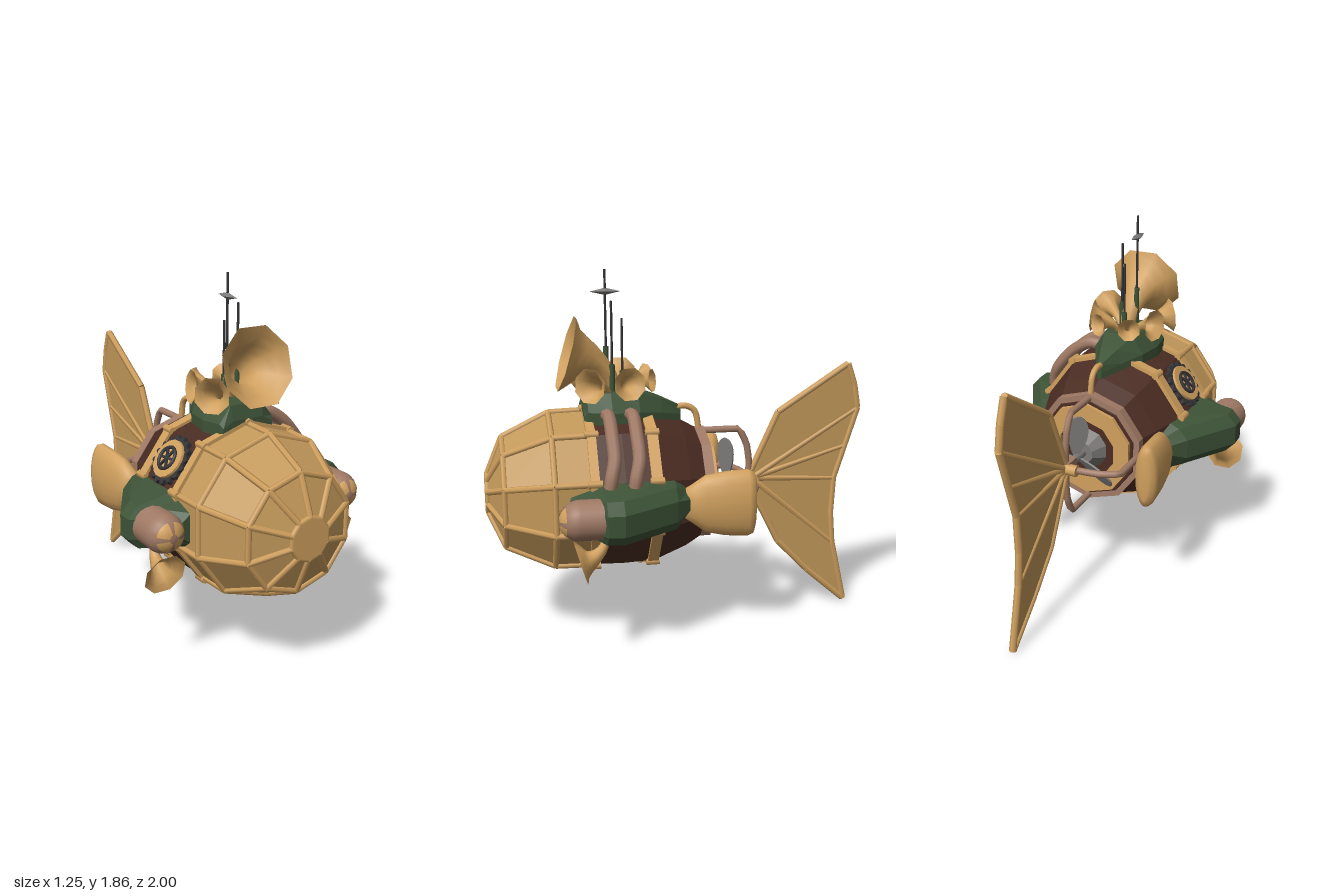
import * as THREE from 'three';

const V = (x, y, z) => new THREE.Vector3(x, y, z);
const CY = 0.755; // height of the hull axis

export function createModel() {
  const root = new THREE.Group();
  root.name = 'fishSubmarine';
  const mat = (name, color) => {
    const m = new THREE.MeshStandardMaterial({ color, side: THREE.DoubleSide });
    m.name = name;
    return m;
  };
  const gold = mat('brass', 0xd0a05e), panel = mat('brassPanel', 0xc2985a);
  const brown = mat('darkWood', 0x4a2c22), green = mat('greenPaint', 0x3e5438);
  const copper = mat('copper', 0xa07a65), grey = mat('steel', 0x7c7a78), dark = mat('blackIron', 0x353538);

  const add = (name, geo, material, parent = root) => {
    const m = new THREE.Mesh(geo, material);
    m.name = name;
    parent.add(m);
    return m;
  };
  const group = (name) => {
    const g = new THREE.Group();
    g.name = name;
    root.add(g);
    return g;
  };
  const flat = (geo) => {
    const g = geo.index ? geo.toNonIndexed() : geo;
    g.computeVertexNormals();
    return g;
  };

  // Skin over a row of equal-length rings, with optional end caps
  const loft = (rings, caps = true) => {
    const n = rings[0].length, pts = rings.flat(), idx = [];
    for (let i = 0; i + 1 < rings.length; i++) {
      for (let j = 0; j < n; j++) {
        const a = i * n + j, b = i * n + (j + 1) % n;
        idx.push(a, b, a + n, b, b + n, a + n);
      }
    }
    if (caps) [0, rings.length - 1].forEach((r, k) => {
      const c = pts.length;
      pts.push(rings[r].reduce((s, p) => s.add(p), V(0, 0, 0)).divideScalar(n));
      for (let j = 0; j < n; j++) {
        const a = r * n + j, b = r * n + (j + 1) % n;
        idx.push(...(k ? [a, b, c] : [b, a, c]));
      }
    });
    const g = new THREE.BufferGeometry().setFromPoints(pts);
    g.setIndex(idx);
    g.computeVertexNormals();
    return g;
  };

  // Ten-sided turned part along the hull axis, profile as [radius, z]
  const hull = (profile) => flat(new THREE.LatheGeometry(profile.map(([r, z]) => new THREE.Vector2(r, z)), 10)
    .rotateX(Math.PI / 2).translate(0, CY, 0));
  const band = (z, w, r0, r1) => hull([[r0, z - w], [r1, z - w], [r1, z + w], [r0, z + w], [r0, z - w]]);
  const rod = (a, b, r, sides = 6, r2 = r) => {
    const d = b.clone().sub(a);
    const g = new THREE.CylinderGeometry(r2, r, d.length(), sides);
    g.applyQuaternion(new THREE.Quaternion().setFromUnitVectors(V(0, 1, 0), d.normalize()));
    return g.translate((a.x + b.x) / 2, (a.y + b.y) / 2, (a.z + b.z) / 2);
  };
  const pipe = (pts, r, tension = 0.5) =>
    new THREE.TubeGeometry(new THREE.CatmullRomCurve3(pts, false, 'catmullrom', tension), 28, r, 8);

  // Flared eight-sided horn that follows a short bent path
  const horn = (pts, r) => {
    const curve = new THREE.CatmullRomCurve3(pts), N = 9, rings = [];
    for (let i = 0; i <= N; i++) {
      const t = i / N, c = curve.getPoint(t), d = curve.getTangent(t);
      const side = V(0, 1, 0).cross(d).normalize(), up = d.clone().cross(side);
      const rad = r * (0.16 + 0.2 * t + 0.64 * t ** 4);
      rings.push(Array.from({ length: 8 }, (_, j) => {
        const a = (j + 0.5) * Math.PI / 4;
        return c.clone().addScaledVector(side, rad * Math.cos(a)).addScaledVector(up, rad * Math.sin(a));
      }));
    }
    return loft(rings, false);
  };

  // Hull: panelled nose, wooden barrel and metal bands
  const nose = [[0.1, 0.985], [0.29, 0.905], [0.405, 0.67], [0.41, 0.48]];
  add('nosePanels', hull([...nose].reverse()), panel);
  add('noseHub', hull([[0.1, 0.97], [0.1, 1], [0, 1]]), gold);
  add('barrel', hull([[0, -0.14], [0.265, -0.14], [0.345, 0], [0.41, 0.17], [0.415, 0.33], [0.41, 0.48]]), brown);
  add('frontBand', band(0.48, 0.022, 0.39, 0.428), gold);
  add('middleBand', band(0.18, 0.027, 0.39, 0.426), gold);
  add('rearBand', band(-0.11, 0.025, 0.22, 0.3), copper);
  const ribs = group('noseRibs');
  for (let k = 0; k < 10; k++) {
    const at = ([r, z], q) => V(r * Math.sin(q * Math.PI / 5), CY + r * Math.cos(q * Math.PI / 5), z);
    for (let i = 0; i < 3; i++) {
      add('meridianRib', rod(at(nose[i], k), at(nose[i + 1], k), 0.016), gold, ribs);
      add('ringRib', rod(at(nose[i], k), at(nose[i], k + 1), 0.015), gold, ribs);
    }
    for (const [r, z] of [[0.418, 0.48], [0.416, 0.18]]) {
      add('bandJoint', rod(at([r, z - 0.034], k), at([r, z + 0.034], k), 0.02), gold, ribs);
    }
  }

  // Stern: stepped cap, shaft and three-bladed propeller
  add('sternRing', band(-0.145, 0.015, 0.16, 0.25), gold);
  add('sternCap', hull([[0, -0.205], [0.06, -0.205], [0.11, -0.14]]), grey);
  add('propellerShaft', rod(V(0, CY, -0.2), V(0, CY, -0.36), 0.022, 10), grey);
  const blade = new THREE.Shape();
  blade.moveTo(-0.015, 0.02);
  blade.bezierCurveTo(-0.07, 0.1, -0.08, 0.2, -0.02, 0.225);
  blade.bezierCurveTo(0.05, 0.23, 0.07, 0.13, 0.015, 0.02);
  for (let k = 0; k < 3; k++) {
    add('propellerBlade', new THREE.ExtrudeGeometry(blade, { depth: 0.01, bevelEnabled: false })
      .rotateY(0.6).rotateZ(k * Math.PI * 2 / 3).translate(0, CY, -0.265), grey);
  }

  // Crossed pipe cage around the propeller
  const cage = [[0.275, -0.1], [0.275, -0.3], [0.27, -0.33], [0.19, -0.37], [0.09, -0.385], [0, -0.38],
    [-0.09, -0.385], [-0.19, -0.37], [-0.27, -0.33], [-0.275, -0.3], [-0.275, -0.1]];
  add('cageAcross', pipe(cage.map(([a, z]) => V(a, CY, z)), 0.018, 0.2), copper);
  add('cageUpright', pipe(cage.map(([a, z]) => V(0, CY + a, z)), 0.018, 0.2), copper);
  add('tailBracket', new THREE.BoxGeometry(0.06, 0.07, 0.08).translate(0, CY, -0.36), copper);
  add('tailHinge', rod(V(-0.07, CY, -0.395), V(0.07, CY, -0.395), 0.03, 8), gold);

  // Tail fin: thin web with rim and ribs, points as [-z, y]
  const fin = [[0.39, 0.78], [0.54, 1.11], [0.92, 1.355], [0.96, 1.24], [0.982, 1.115], [0.862, 0.73],
    [0.853, 0.53], [0.868, 0.36], [0.945, 0.022], [0.73, 0.21], [0.556, 0.39], [0.39, 0.72]];
  const tail = group('tailFin');
  add('finWeb', new THREE.ExtrudeGeometry(new THREE.Shape(fin.map(([u, y]) => new THREE.Vector2(u, y))),
    { depth: 0.014, bevelEnabled: false }).rotateY(Math.PI / 2).translate(-0.007, 0, 0), panel, tail);
  fin.forEach(([u, y], i) => {
    const [u2, y2] = fin[(i + 1) % fin.length];
    add('finRim', rod(V(0, y, -u), V(0, y2, -u2), 0.018), gold, tail);
  });
  for (const [u, y] of [fin[4], [0.92, 0.91], fin[5], fin[7]]) {
    add('finRib', rod(V(0, 0.755, -0.4), V(0, y, -u), 0.02, 6, 0.014), gold, tail);
  }

  // Pods, rear flaps and lower horns on both sides
  for (const s of [1, -1]) {
    const g = group(s > 0 ? 'leftPod' : 'rightPod');
    // Section from the hull out to x = w, as [z, w, bottom, top]
    const section = ([z, w, b, t]) => [[0.3, b], [w - 0.05, b + (t - b) * 0.16], [w, b + (t - b) * 0.33],
      [w, b + (t - b) * 0.66], [w - 0.05, b + (t - b) * 0.84], [0.3, t]].map(([x, y]) => V(s * x, y, z));
    add('podShoulder', flat(loft([[0.02, 0.4, 0.67, 0.84], [0.09, 0.46, 0.59, 0.9], [0.37, 0.625, 0.585, 0.9],
      [0.45, 0.625, 0.59, 0.9], [0.49, 0.55, 0.6, 0.88], [0.6, 0.43, 0.64, 0.86]].map(section))), green, g);
    const cx = s * 0.512, cy = 0.75;
    add('podBarrel', new THREE.CylinderGeometry(0.097, 0.097, 0.2, 20, 1, true)
      .rotateX(Math.PI / 2).translate(cx, cy, 0.47), copper, g);
    const dome = (...part) => new THREE.SphereGeometry(0.097, 20, 10, ...part).rotateX(Math.PI / 2);
    add('podDome', dome(0, Math.PI * 2, 0, Math.PI / 2).translate(cx, cy, 0.57), copper, g);
    for (let k = 0; k < 4; k++) {
      add('podWindow', dome(k * Math.PI / 2 + 0.2, Math.PI / 2 - 0.4, 0.22, 0.62)
        .scale(1.02, 1.02, 1.02).translate(cx, cy, 0.57), gold, g);
    }
    const flap = [[0.045, 0.345, 0.035, 0.07], [0, 0.36, 0.055, 0.1], [-0.06, 0.372, 0.062, 0.145],
      [-0.16, 0.385, 0.064, 0.165], [-0.27, 0.392, 0.064, 0.172], [-0.3, 0.394, 0.052, 0.16], [-0.312, 0.395, 0.025, 0.12]];
    add('rearFlap', loft(flap.map(([z, x, rx, ry]) => Array.from({ length: 18 }, (_, j) => {
      const a = j * Math.PI / 9;
      return V(s * x + rx * Math.cos(a), 0.748 + ry * Math.sin(a), z);
    }))), gold, g);
    add('lowerHorn', horn([V(s * 0.49, 0.65, 0.44), V(s * 0.5, 0.59, 0.47), V(s * 0.503, 0.55, 0.52),
      V(s * 0.503, 0.535, 0.57)], 0.11), gold, g);
  }

  // Green turret base on the back, rows as [z, half width, bottom, top]
  add('turretBase', flat(loft([[0.5, 0.14, 1.13, 1.19], [0.48, 0.15, 1.1, 1.26], [0.36, 0.165, 1.08, 1.265],
    [0.22, 0.14, 1.08, 1.26], [0.1, 0.075, 1.08, 1.22], [-0.01, 0.012, 1.08, 1.17]].map(([z, w, b, t]) =>
    [[-w, b], [w, b], [w, b + (t - b) * 0.5], [w * 0.6, t], [-w * 0.6, t], [-w, b + (t - b) * 0.5]]
      .map(([x, y]) => V(x, y, z))))), green);
  add('turretPipe', pipe([V(0, 1.16, 0.02), V(0, 1.165, -0.04), V(0, 1.13, -0.09), V(0, 1.03, -0.11)], 0.016), gold);

  // Horn cluster
  add('mainHorn', horn([V(0, 1.24, 0.32), V(0, 1.34, 0.36), V(0, 1.42, 0.45), V(0, 1.455, 0.57)], 0.2), gold);
  for (const s of [1, -1]) {
    for (const [x, z, r] of [[0.19, 0.475, 0.09], [0.18, 0.275, 0.085], [0.09, 0.15, 0.06]]) {
      const dx = x * s, dz = z - 0.32;
      add('sideHorn', horn([V(dx * 0.2, 1.23, 0.32 + dz * 0.2), V(dx * 0.45, 1.29, 0.32 + dz * 0.45),
        V(dx * 0.75, 1.315, 0.32 + dz * 0.75), V(dx, 1.32, z)], r), gold);
    }
  }

  // Antennas as [x, z, top of base, tip]
  for (const [x, z, mid, tip] of [[-0.035, 0.365, 1.48, 1.865], [0.04, 0.345, 1.4, 1.715], [0, 0.288, 1.36, 1.625]]) {
    add('antennaBase', rod(V(x, 1.24, z), V(x, mid, z), 0.014, 8), green);
    add('antennaMast', rod(V(x, mid, z), V(x, tip, z), 0.006), dark);
  }
  add('antennaVane', flat(new THREE.OctahedronGeometry(1).scale(0.024, 0.018, 0.078)).translate(-0.035, 1.755, 0.365), grey);

  // Two hoses from turret to left pod
  for (const z of [0.385, 0.265]) {
    add('hose', pipe([V(0.12, 1.16, z + 0.01), V(0.2, 1.165, z), V(0.3, 1.1, z), V(0.385, 1.0, z),
      V(0.425, 0.92, z + 0.02), V(0.43, 0.85, z + 0.03)], 0.033), copper);
  }

  // Geared hatch on the right upper hull
  const hatch = group('hatch');
  const teeth = new THREE.Shape(Array.from({ length: 64 }, (_, i) => {
    const r = i % 4 < 2 ? 0.128 : 0.112, a = i * Math.PI / 32;
    return new THREE.Vector2(r * Math.cos(a), r * Math.sin(a));
  }));
  add('hatchGear', new THREE.ExtrudeGeometry(teeth, { depth: 0.025, bevelEnabled: false }), dark, hatch);
  add('hatchPlate', new THREE.CylinderGeometry(0.098, 0.102, 0.035, 16).rotateX(Math.PI / 2).translate(0, 0, 0.02), gold, hatch);
  add('hatchWheel', new THREE.TorusGeometry(0.056, 0.009, 6, 20).translate(0, 0, 0.042), dark, hatch);
  for (let k = 0; k < 3; k++) {
    add('hatchSpoke', new THREE.BoxGeometry(0.11, 0.012, 0.01).rotateZ(k * Math.PI / 3 + 0.5).translate(0, 0, 0.042), dark, hatch);
  }
  const out = V(-Math.cos(Math.PI / 5), Math.sin(Math.PI / 5), 0);
  hatch.position.copy(out).multiplyScalar(0.392).add(V(0, CY, 0.335));
  hatch.quaternion.setFromUnitVectors(V(0, 0, 1), out);

  return root;
}
